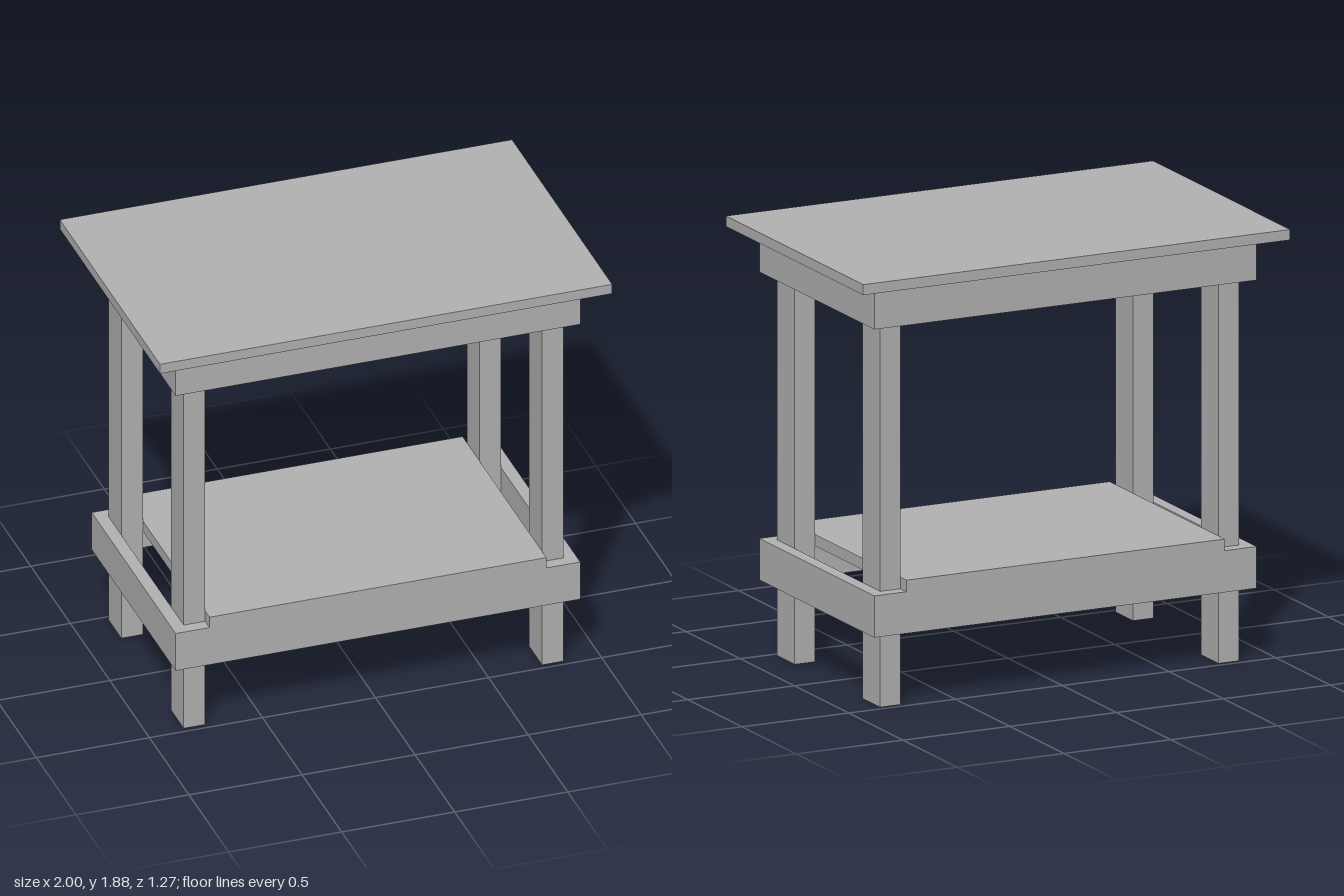
import * as THREE from 'three';

export function createModel() {
  const model = new THREE.Group();
  model.name = 'workbench';
  const grey = new THREE.MeshStandardMaterial({ color: 0xb2b2b2 });
  grey.name = 'plain grey';

  // Box given by its lower and upper corners
  function board(name, [x0, y0, z0], [x1, y1, z1]) {
    const mesh = new THREE.Mesh(new THREE.BoxGeometry(x1 - x0, y1 - y0, z1 - z0), grey);
    mesh.position.set((x0 + x1) / 2, (y0 + y1) / 2, (z0 + z1) / 2);
    mesh.name = name;
    model.add(mesh);
  }

  const X = 0.895, Z = 0.53; // outer half size of the frames
  const legX = [0.745, 0.84], legZ = [0.313, 0.475];

  // Rectangular frame of four rails around the legs
  function frame(name, y0, y1) {
    for (const s of [-1, 1]) {
      const z = [s * legZ[1], s * Z].sort((a, b) => a - b);
      const x = [s * legX[1], s * X].sort((a, b) => a - b);
      board(name + (s > 0 ? 'FrontRail' : 'BackRail'), [-X, y0, z[0]], [X, y1, z[1]]);
      board(name + (s > 0 ? 'LeftRail' : 'RightRail'), [x[0], y0, -legZ[1]], [x[1], y1, legZ[1]]);
    }
  }

  // Top and the shelf that fits between the legs
  board('tableTop', [-1, 1.835, -0.633], [1, 1.88, 0.633]);
  board('lowerShelf', [-legX[0], 0.5, -Z], [legX[0], 0.55, Z]);

  frame('upper', 1.65, 1.835);
  frame('lower', 0.32, 0.5);

  // Four legs reaching up to the underside of the top
  for (const sx of [-1, 1]) for (const sz of [-1, 1]) {
    const x = legX.map(v => v * sx).sort((a, b) => a - b);
    const z = legZ.map(v => v * sz).sort((a, b) => a - b);
    board((sz > 0 ? 'front' : 'back') + (sx > 0 ? 'Left' : 'Right') + 'Leg',
      [x[0], 0, z[0]], [x[1], 1.835, z[1]]);
  }
  return model;
}
